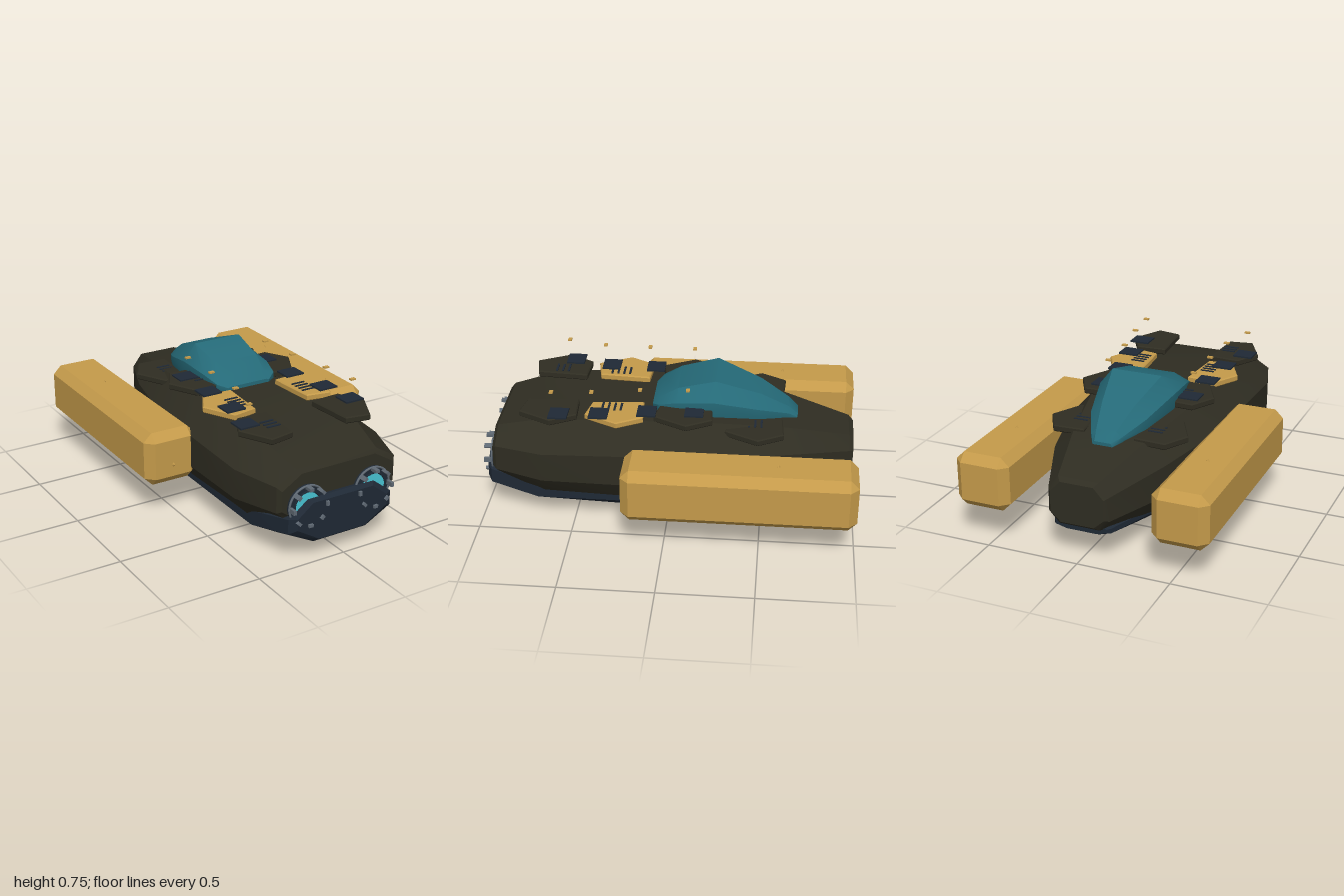
import * as THREE from 'three';
import { toCreasedNormals } from 'three/addons/utils/BufferGeometryUtils.js';

const material = (name, color) => {
  const m = new THREE.MeshStandardMaterial({ color });
  m.name = name;
  return m;
};

// Octagonal loft, front to back.
// Section: [z, yBottom, ySideLow, ySideHigh, yTop, halfBottom, halfSide, halfTop]
function loft(sections, crease) {
  const pos = [], idx = [];
  for (const [z, yb, yl, yh, yt, wb, ww, wt] of sections) {
    const ring = [[wb, yb], [ww, yl], [ww, yh], [wt, yt], [-wt, yt], [-ww, yh], [-ww, yl], [-wb, yb]];
    ring.forEach(([x, y]) => pos.push(x, y, z));
  }
  const last = (sections.length - 1) * 8;
  for (let r = 0; r < last; r += 8) {
    for (let j = 0; j < 8; j++) {
      const a = r + j, b = r + (j + 1) % 8;
      idx.push(a, a + 8, b, b, a + 8, b + 8);
    }
  }
  for (let j = 1; j < 7; j++) idx.push(0, j, j + 1, last, last + j + 1, last + j);
  const g = new THREE.BufferGeometry();
  g.setAttribute('position', new THREE.Float32BufferAttribute(pos, 3));
  g.setIndex(idx);
  return toCreasedNormals(g, crease);
}

export function createModel() {
  const model = new THREE.Group();
  model.name = 'spacecraft';
  const olive = material('dark olive', 0x2f2d22);
  const navy = material('dark navy', 0x1f2935);
  const gold = material('gold', 0xc49a4a);
  const teal = material('teal glass', 0x256a78);
  const grey = material('steel grey', 0x5f6973);
  const cyan = material('bright cyan', 0x48c4d4);

  const add = (name, geometry, mat, x = 0, y = 0, z = 0, parent = model) => {
    const mesh = new THREE.Mesh(geometry, mat);
    mesh.name = name;
    mesh.position.set(x, y, z);
    parent.add(mesh);
    return mesh;
  };

  // Main bodies
  add('hull', loft([
    [0.94, 0.22, 0.29, 0.40, 0.47, 0.24, 0.335, 0.22],
    [0.92, 0.20, 0.28, 0.42, 0.49, 0.26, 0.355, 0.24],
    [0.66, 0.14, 0.27, 0.43, 0.56, 0.34, 0.435, 0.28],
    [0.10, 0.12, 0.26, 0.44, 0.585, 0.34, 0.43, 0.30],
    [-0.20, 0.12, 0.26, 0.44, 0.58, 0.33, 0.41, 0.28],
    [-0.60, 0.14, 0.25, 0.42, 0.53, 0.24, 0.31, 0.20],
    [-0.96, 0.19, 0.25, 0.38, 0.45, 0.11, 0.165, 0.11],
    [-0.985, 0.21, 0.26, 0.37, 0.43, 0.09, 0.145, 0.09],
  ], 0.45), olive);

  add('belly', loft([
    [0.985, 0.11, 0.19, 0.25, 0.32, 0.14, 0.27, 0.18],
    [0.96, 0.09, 0.17, 0.25, 0.335, 0.16, 0.31, 0.20],
    [0.70, 0.03, 0.12, 0.20, 0.30, 0.20, 0.36, 0.25],
    [-0.15, 0.0, 0.12, 0.16, 0.25, 0.22, 0.36, 0.25],
    [-0.60, 0.085, 0.15, 0.18, 0.25, 0.17, 0.25, 0.18],
    [-0.92, 0.145, 0.165, 0.19, 0.21, 0.09, 0.155, 0.10],
    [-0.94, 0.155, 0.17, 0.19, 0.20, 0.08, 0.14, 0.09],
  ], 0.45), navy);

  add('canopy', loft([
    [0.095, 0.57, 0.58, 0.60, 0.605, 0.12, 0.13, 0.11],
    [0.06, 0.57, 0.585, 0.62, 0.635, 0.17, 0.18, 0.12],
    [-0.04, 0.55, 0.59, 0.645, 0.70, 0.19, 0.20, 0.13],
    [-0.24, 0.54, 0.59, 0.66, 0.752, 0.20, 0.213, 0.14],
    [-0.48, 0.50, 0.55, 0.60, 0.665, 0.14, 0.155, 0.09],
    [-0.63, 0.49, 0.52, 0.55, 0.578, 0.07, 0.085, 0.055],
    [-0.68, 0.485, 0.495, 0.515, 0.53, 0.045, 0.055, 0.045],
  ], 0.6), teal);

  // Side pods with bevelled edges and tiny studs
  const podGeo = loft([
    [0.215, 0.235, 0.236, 0.439, 0.44, 0.104, 0.105, 0.104],
    [0.17, 0.19, 0.236, 0.439, 0.485, 0.104, 0.15, 0.104],
    [-0.955, 0.19, 0.236, 0.439, 0.485, 0.104, 0.15, 0.104],
    [-1.0, 0.235, 0.236, 0.439, 0.44, 0.104, 0.105, 0.104],
  ], 0.2);
  const studGeo = new THREE.ConeGeometry(0.012, 0.016, 4);

  // Hatch outline as [x, z], repeated along the deck
  const outline = [[0.14, 0.14], [0.31, 0.13], [0.385, 0.265], [0.295, 0.44], [0.16, 0.415]];
  const hatchGeometry = (side) => {
    const shape = new THREE.Shape(outline.map(([x, z]) => new THREE.Vector2(x * side, -z)));
    return new THREE.ExtrudeGeometry(shape, {
      depth: 0.024, bevelEnabled: true, bevelSize: 0.006, bevelOffset: -0.006, bevelThickness: 0.006, bevelSegments: 1,
    }).rotateX(-Math.PI / 2).translate(0, 0.006, 0);
  };
  const hatches = [
    { z: 0.35, y: 0.578, mat: olive },
    { z: 0, y: 0.577, mat: gold },
    { z: -0.365, y: 0.58, mat: olive },
    { z: -0.74, y: 0.51, mat: olive },
  ];
  const plateGeo = new THREE.BoxGeometry(0.11, 0.009, 0.1);
  const tabGeo = new THREE.BoxGeometry(0.03, 0.008, 0.02);
  const barGeo = new THREE.BoxGeometry(0.078, 0.007, 0.011);
  // Plates: [z, right-side x, left-side x]
  const plates = [[0.575, 0.32, 0.32], [0.365, 0.27, 0.30], [0.115, 0.265, 0.255], [-0.135, 0.265, 0.24]];
  // Vent bars: [z, y, number on right, number on left]
  const vents = [[0.60, 0.616, 3, 0], [0.255, 0.614, 4, 4], [-0.12, 0.617, 3, 0], [-0.49, 0.546, 3, 3]];

  for (const side of [-1, 1]) {
    const label = side > 0 ? 'left' : 'right';

    const pod = new THREE.Group();
    pod.name = label + 'Pod';
    pod.position.x = side * 0.535;
    model.add(pod);
    add('podBody', podGeo, gold, 0, 0, 0, pod);
    add('podTopStud', studGeo, gold, 0, 0.49, -0.59, pod);
    add('podBottomStud', studGeo, gold, 0, 0.186, -0.59, pod).rotation.x = Math.PI;
    add('podFrontStud', studGeo, gold, 0, 0.30, 0.222, pod).rotation.x = Math.PI / 2;

    const hatchGeo = hatchGeometry(side);
    for (const h of hatches) add(label + 'Hatch', hatchGeo, h.mat, 0, h.y, h.z);

    // Thin deck plates with hovering tabs
    for (const [z, xr, xl] of plates) {
      const x = side > 0 ? xl : -xr;
      add(label + 'DeckPlate', plateGeo, navy, x, 0.619, z);
      add(label + 'HoverTab', tabGeo, gold, x - 0.012 * (side > 0 ? 1 : 0), 0.739, z + 0.035);
    }
    for (const [z, y, nr, nl] of vents) {
      for (let i = 0; i < (side > 0 ? nl : nr); i++) {
        add(label + 'VentBar', barGeo, navy, side * 0.21, y, z + i * 0.033);
      }
    }

    // Nose lamp: housing, rim, glowing lens and eight clamps
    const lamp = new THREE.Group();
    lamp.name = label + 'NoseLamp';
    lamp.position.set(side * 0.197, 0.30, 0);
    model.add(lamp);
    const facing = (name, geo, mat, z) => {
      add(name, geo, mat, 0, 0, z, lamp).rotation.x = Math.PI / 2;
    };
    facing('lampHousing', new THREE.CylinderGeometry(0.108, 0.108, 0.06, 32), navy, 0.925);
    facing('lampLens', new THREE.CylinderGeometry(0.07, 0.07, 0.008, 32), cyan, 0.957);
    add('lampRim', new THREE.TorusGeometry(0.105, 0.006, 8, 32), grey, 0, 0, 0.955, lamp);
    add('lampInnerRim', new THREE.TorusGeometry(0.075, 0.005, 8, 32), navy, 0, 0, 0.958, lamp);
    const clampGeo = new THREE.BoxGeometry(0.016, 0.024, 0.06);
    for (let i = 0; i < 8; i++) {
      const a = i * Math.PI / 4;
      add('lampClamp', clampGeo, grey, Math.cos(a) * 0.098, Math.sin(a) * 0.098, 0.968, lamp).rotation.z = a;
    }
  }
  return model;
}
